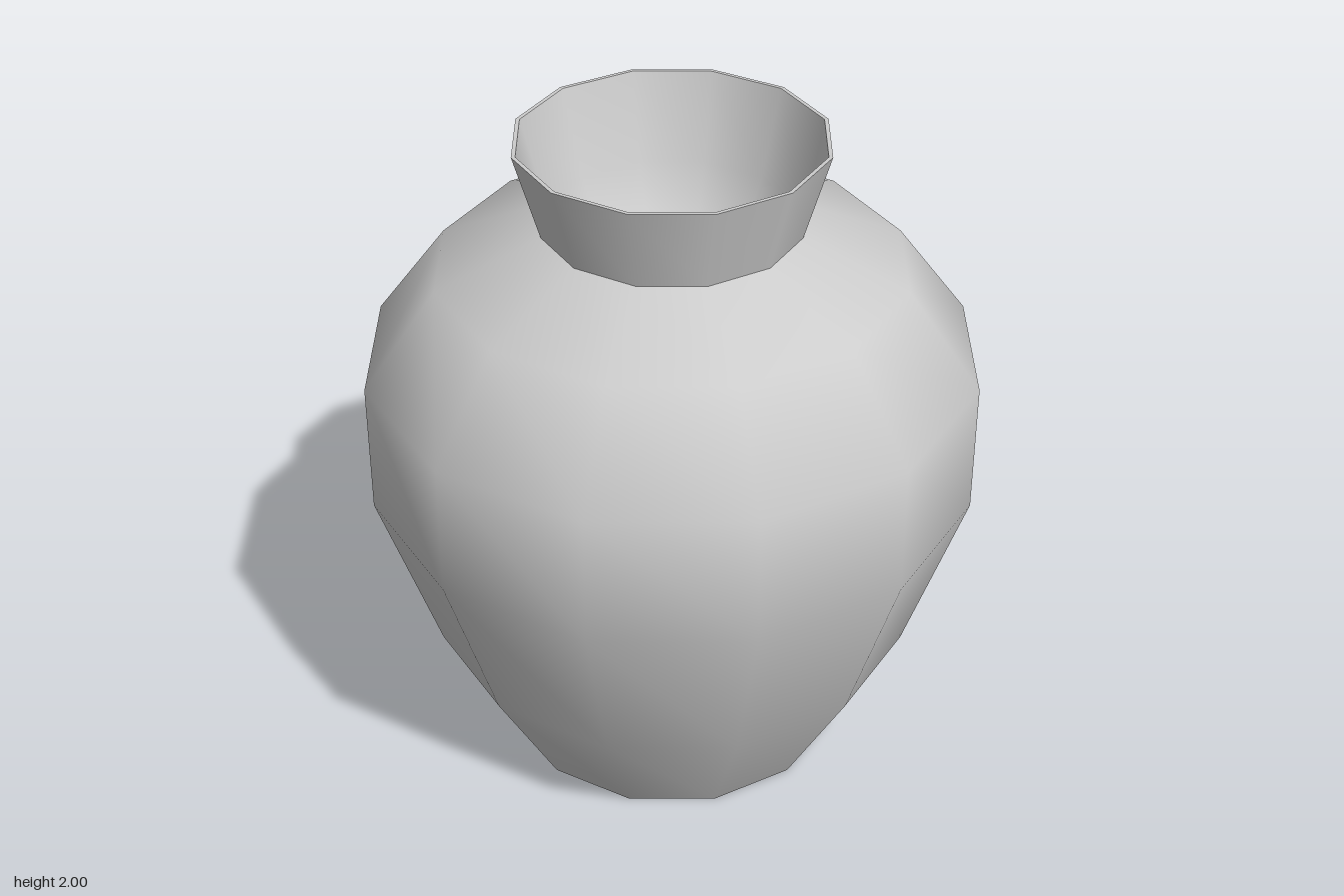
import * as THREE from 'three';

const SIDES = 12;

export function createModel() {
  const group = new THREE.Group();
  group.name = 'vase';
  const clay = new THREE.MeshStandardMaterial({ color: 0xcccccc });
  clay.name = 'grey clay';

  // Each part is one smooth band of [radius, height] points; edges between parts stay sharp.
  const addBand = (name, profile) => {
    const points = profile.map(([r, y]) => new THREE.Vector2(r, y));
    const mesh = new THREE.Mesh(new THREE.LatheGeometry(points, SIDES), clay);
    mesh.name = name;
    group.add(mesh);
  };

  const foot = [0.505, 0], throat = [0.38, 1.74], rim = [0.455, 2], innerRim = [0.443, 2];

  addBand('base', [[0, 0], foot]);
  addBand('body', [foot, [0.725, 0.39], [0.905, 0.92], [0.905, 1.32], [0.69, 1.61], throat]);
  addBand('neck', [throat, rim]);
  addBand('lip', [rim, innerRim]);
  // Hollow inside of the mouth, closing as a rounded bowl
  addBand('innerBowl', [innerRim, [0.37, 1.74], [0.29, 1.58], [0.16, 1.48], [0, 1.45]]);

  return group;
}
